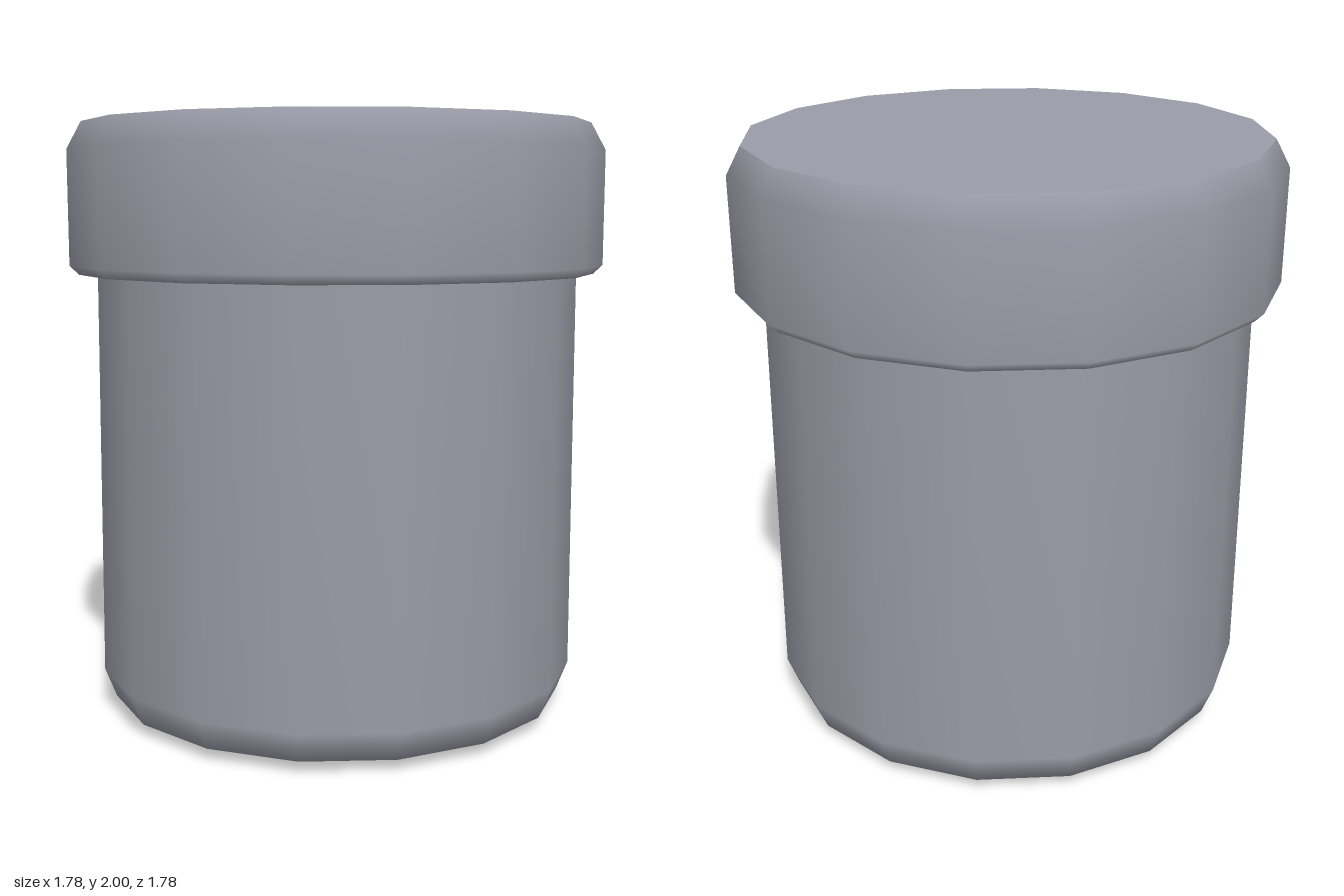
import * as THREE from 'three';

const SIDES = 16;
const FLAT = 1 / Math.cos(Math.PI / SIDES); // flat-to-centre distance -> corner radius

// Sixteen-sided turned shell with flats facing the axes; profile is [flat radius, y]
function turned(profile) {
  const points = profile.map(([r, y]) => new THREE.Vector2(r * FLAT, y));
  return new THREE.LatheGeometry(points, SIDES, Math.PI / SIDES);
}

export function createModel() {
  const model = new THREE.Group();
  model.name = 'liddedJar';
  const grey = new THREE.MeshStandardMaterial({ color: 0x9a9da8 });
  grey.name = 'blue grey';

  const add = (name, geometry, parent) => {
    const mesh = new THREE.Mesh(geometry, grey);
    mesh.name = name;
    parent.add(mesh);
  };

  // Body: rounded foot, narrowing slightly front to back towards the lid
  const body = turned([[0, 0], [0.66, 0], [0.77, 0.04], [0.808, 0.14], [0.805, 1.52]]);
  const pos = body.attributes.position;
  for (let i = 0; i < pos.count; i++) {
    const t = THREE.MathUtils.clamp((pos.getY(i) - 0.14) / 1.38, 0, 1);
    pos.setZ(i, pos.getZ(i) * (1 - 0.025 * t));
  }
  add('body', body, model);

  // Lid: flat underside, bevelled wall and a sharp-edged flat top
  const lid = new THREE.Group();
  lid.name = 'lid';
  add('lidUnderside', turned([[0.7, 1.5], [0.86, 1.5]]), lid);
  add('lidWall', turned([[0.86, 1.5], [0.89, 1.53], [0.89, 1.91], [0.842, 2]]), lid);
  add('lidTop', turned([[0.842, 2], [0, 2]]), lid);
  model.add(lid);

  return model;
}
